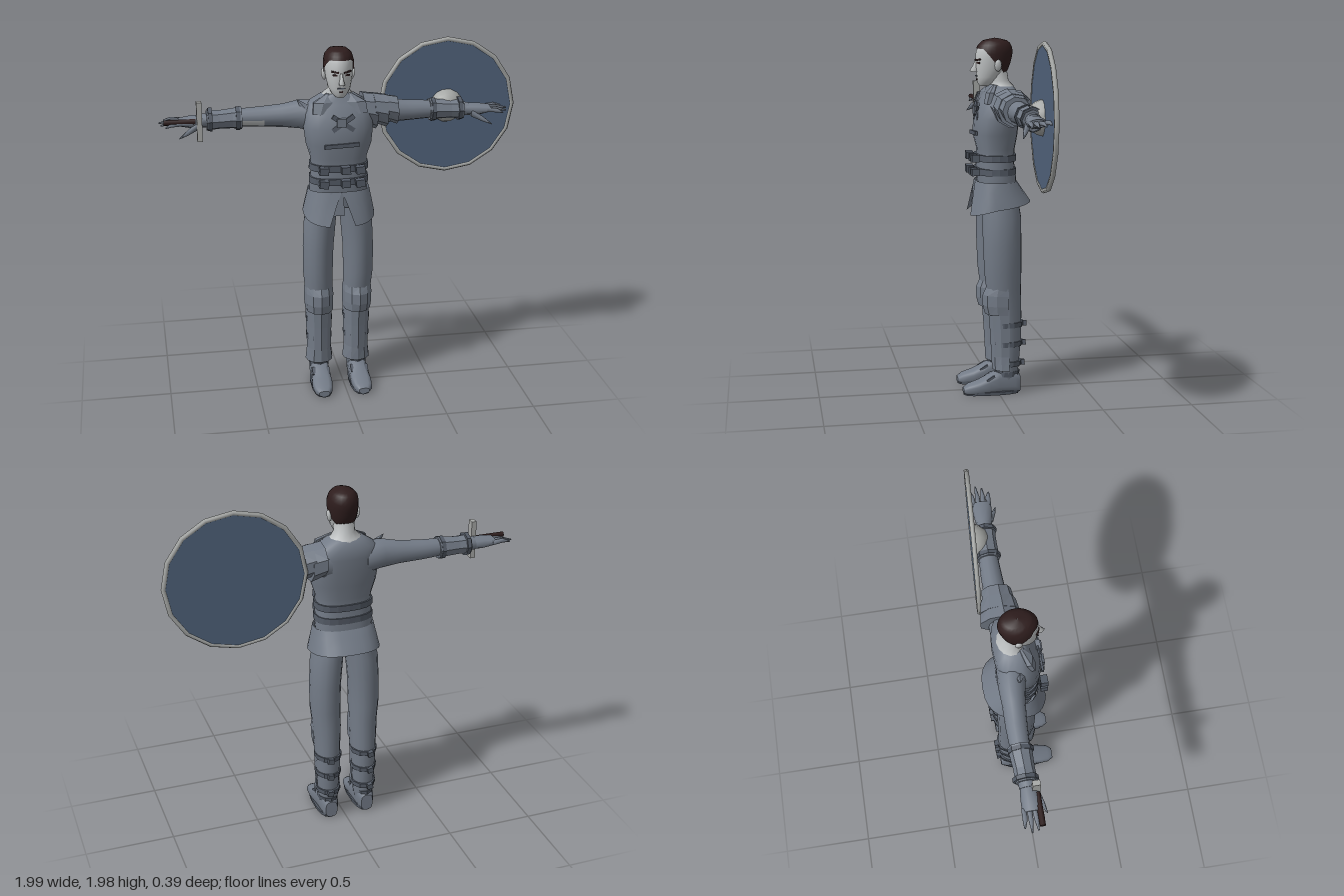
import * as THREE from 'three';

const mat = (name, color, side = THREE.DoubleSide) => {
  const m = new THREE.MeshStandardMaterial({ color, side });
  m.name = name;
  return m;
};

// Grid surface from fn(u, v); u runs anticlockwise seen from above, v runs up
function sheet(fn, nu, nv, closed = true, caps = false, flat = false) {
  const pos = [], idx = [], w = closed ? nu : nu + 1;
  for (let j = 0; j <= nv; j++) for (let i = 0; i < w; i++) pos.push(...fn(i / nu, j / nv));
  for (let j = 0; j < nv; j++) for (let i = 0; i < nu; i++) {
    const a = j * w + i, b = j * w + (i + 1) % w;
    idx.push(a, b, b + w, a, b + w, a + w);
  }
  if (caps) for (const j of [0, nv]) {
    const base = pos.length / 3, c = [0, 0, 0];
    for (let i = 0; i < w; i++) {
      const p = fn(i / nu, j / nv);
      p.forEach((n, k) => { c[k] += n / w; });
      pos.push(...p);
    }
    pos.push(...c);
    for (let i = 0; i < w; i++) {
      const a = base + i, b = base + (i + 1) % w;
      idx.push(...(j ? [a, b, base + w] : [b, a, base + w]));
    }
  }
  let g = new THREE.BufferGeometry();
  g.setAttribute('position', new THREE.Float32BufferAttribute(pos, 3));
  g.setIndex(idx);
  if (flat) g = g.toNonIndexed();
  g.computeVertexNormals();
  return g;
}

// Rounded cross-sections [y, centreX, centreZ, radiusX, radiusZ], bottom to top
const pw = (n, p) => Math.sign(n) * Math.abs(n) ** (2 / p);
function loft(rings, { sides = 16, p = 2, from = 0, to = Math.PI * 2, flat = false } = {}) {
  const r = [...rings].sort((a, b) => a[0] - b[0]), closed = to - from > 6.28;
  return sheet((u, v) => {
    const [y, cx, cz, rx, rz] = r[Math.round(v * (r.length - 1))], a = from + (to - from) * u;
    return [cx + rx * pw(Math.sin(a), p), y, cz + rz * pw(Math.cos(a), p)];
  }, sides, r.length - 1, closed, closed, flat);
}
// Sections [x, y, z, radiusY, radiusZ] along x, and [z, x, y, radiusX, radiusY] along z
const loftX = (rings, o) => loft(rings.map(([x, y, z, ry, rz]) => [x, -y, z, ry, rz]), o).rotateZ(-Math.PI / 2);
const loftZ = (rings, o) => loft(rings.map(([z, x, y, rx, ry]) => [z, x, -y, rx, ry]), o).rotateX(Math.PI / 2);

const box = (w, h, d, x, y, z, rx = 0, ry = 0, rz = 0) =>
  new THREE.BoxGeometry(w, h, d).rotateX(rx).rotateY(ry).rotateZ(rz).translate(x, y, z);

function mirrored(g) {
  const m = g.clone().scale(-1, 1, 1);
  const i = m.index ? Array.from(m.index.array) : Array.from({ length: m.attributes.position.count }, (_, k) => k);
  for (let k = 0; k < i.length; k += 3) [i[k], i[k + 1]] = [i[k + 1], i[k]];
  m.setIndex(i);
  return m;
}

export function createModel() {
  const cloth = mat('slate cloth', 0x737b87), strap = mat('dark strap', 0x535a65);
  const skin = mat('pale skin', 0xbcbfc0), hair = mat('dark brown hair', 0x2e1d1d);
  const blue = mat('shield blue', 0x50627a), metal = mat('light metal', 0xa6a8a6);
  const root = new THREE.Group(), body = new THREE.Group();
  root.name = 'warrior';
  body.name = 'body';
  body.position.x = -0.025;
  root.add(body);
  const add = (name, g, m, parent = body) => {
    const mesh = new THREE.Mesh(g, m);
    mesh.name = name;
    parent.add(mesh);
    return mesh;
  };
  const pair = (name, g, m) => {
    add('left' + name, g, m);
    add('right' + name, mirrored(g), m);
  };

  // Torso
  add('tunic', loft([
    [1.1, 0, -.015, .15, .1], [1.22, 0, -.008, .163, .105], [1.3, 0, 0, .154, .102], [1.38, 0, -.003, .156, .102],
    [1.46, 0, 0, .181, .119], [1.55, 0, -.008, .192, .12], [1.62, 0, -.02, .187, .113], [1.675, 0, -.035, .165, .096],
    [1.715, 0, -.03, .1, .075], [1.73, 0, -.025, .062, .06]], { sides: 20, p: 2.5 }), cloth);
  const slit = .28;
  add('skirt', sheet((u, v) => {
    const a = (1 - v) * slit + u * (Math.PI * 2 - 2 * (1 - v) * slit), c = Math.cos(a), s = Math.sin(a), t = 1 - v;
    const low = c > 0 ? 1.055 - .045 * c : 1.055 - .03 * c;
    const rz = c > 0 ? .11 + .045 * t : .115 + .08 * t;
    return [(.17 + .028 * t) * pw(s, 2.5), 1.2 * v + low * t, rz * pw(c, 2.5)];
  }, 24, 3, false), cloth);
  add('frontFlap', box(.075, .13, .02, -.025, 1.13, .105, -.1), cloth);
  for (const y of [1.33, 1.255]) {
    add('belt', loft([[y - .018, 0, 0, .165, .112], [y + .018, 0, 0, .163, .113]], { sides: 20, p: 2.5, flat: true }), strap);
    for (const x of [-.1, .02, .1]) add('beltBuckle', box(.05, .04, .04, x, y, .128, 0, 0, x), strap);
  }
  add('chestStrap', box(.19, .022, .012, 0, 1.465, .12, 0, 0, .04), strap);
  for (const s of [-1, 1]) add('crossStrap', box(.14, .025, .012, .01, 1.585, .104, -.12, 0, s * .6), strap);
  add('chestClasp', box(.05, .045, .03, 0, 1.59, .105), cloth);
  pair('CollarFlap', loft([[1.63, .11, .06, .045, .02], [1.69, .09, .04, .06, .025], [1.73, .06, .01, .01, .012]], { sides: 6, flat: true }), cloth);

  // Shoulders: a spiked flap on the right, layered plates on the left
  add('rightShoulderFlap', new THREE.ConeGeometry(.045, .12, 5).rotateZ(.75).translate(-.185, 1.655, -.02), cloth);
  [[.14, .1, .115], [.2, .092, .105], [.26, .078, .088]].forEach(([x, ry, rz]) => add('leftShoulderPlate',
    loftX([[x, 1.625, -.06, ry * .9, rz], [x + .075, 1.605, -.06, ry, rz * .9]], { sides: 9, flat: true }), cloth));

  // Arms, bracers and hands
  pair('Arm', loftX([
    [.1, 1.59, -.04, .09, .085], [.2, 1.605, -.06, .08, .07], [.3, 1.6, -.065, .063, .06], [.42, 1.597, -.07, .055, .056],
    [.54, 1.597, -.07, .048, .05], [.74, 1.59, -.065, .036, .042]], { sides: 14 }), cloth);
  pair('Bracer', loftX([
    [.52, 1.595, -.07, .063, .062], [.57, 1.595, -.07, .056, .058], [.64, 1.592, -.067, .052, .054], [.71, 1.59, -.065, .056, .057]],
    { sides: 8, flat: true }), cloth);
  for (const x of [.53, .68]) pair('BracerStrap', loftX(
    [[x, 1.594, -.068, .067, .066], [x + .022, 1.594, -.068, .065, .066]], { sides: 8, flat: true }), strap);
  add('rightForearmPatch', loftX([[-.52, 1.6, -.07, .05, .053], [-.4, 1.6, -.07, .058, .059]],
    { sides: 5, from: .2, to: 1.3 }), skin);
  pair('Palm', loftX([
    [.71, 1.59, -.062, .033, .04], [.79, 1.588, -.06, .034, .05], [.86, 1.59, -.06, .02, .052]], { sides: 10 }), cloth);
  for (let i = 0; i < 4; i++) {
    const z = -.1 + i * .026, end = [.94, .965, .955, .93][i];
    pair('Finger', loftX([
      [.84, 1.59, z, .014, .014], [.9, 1.597 - i * .004, z - .004 + i * .003, .012, .012],
      [end, 1.59 - i * .006, z - .01 + i * .007, .004, .004]], { sides: 6 }), cloth);
  }
  pair('Thumb', loftX([[.75, 1.575, -.03, .022, .02], [.81, 1.545, -.005, .016, .014], [.86, 1.518, .016, .003, .003]], { sides: 6 }), cloth);

  // Sword hilt in the right hand
  add('hiltGrip', new THREE.CylinderGeometry(.015, .015, .17, 8).rotateZ(Math.PI / 2).translate(-.855, 1.598, -.022), hair);
  add('hiltGuard', box(.028, .215, .04, -.75, 1.597, -.025), metal);

  // Legs
  pair('Trouser', loft([
    [.06, .108, -.05, .05, .06], [.15, .108, -.05, .06, .066], [.3, .108, -.05, .068, .08], [.45, .109, -.042, .073, .09],
    [.6, .11, -.03, .08, .098], [.7, .115, -.025, .085, .105], [.85, .113, -.022, .087, .108], [1, .103, -.02, .09, .11],
    [1.14, .08, -.01, .08, .1]], { sides: 16 }), cloth);
  pair('KneePad', loft([
    [.46, .108, -.03, .079, .105], [.51, .11, -.03, .083, .118], [.57, .11, -.03, .084, .118], [.61, .11, -.03, .081, .1]],
    { sides: 6, from: -1.7, to: 1.7, flat: true }), cloth);
  pair('Greave', loft([
    [.14, .108, -.045, .079, .08], [.22, .108, -.045, .07, .084], [.36, .108, -.045, .074, .092], [.5, .108, -.04, .077, .098]],
    { sides: 6, from: -1.65, to: 1.65, flat: true }), cloth);
  for (const [y, k] of [[.175, .94], [.29, 1], [.4, 1.04]]) {
    pair('GreaveStrap', loft([[y - .014, .108, -.05, .074 * k, .088 * k], [y + .014, .108, -.05, .075 * k, .09 * k]],
      { sides: 10, flat: true }), strap);
    pair('GreaveBuckle', box(.035, .03, .02, .12, y, -.05 - .092 * k, 0, 0, .2), strap);
  }

  // Boots
  pair('Boot', loftZ([
    [-.122, .11, .055, .035, .05], [-.09, .11, .07, .05, .068], [.0, .11, .07, .053, .068], [.05, .111, .055, .055, .053],
    [.11, .113, .04, .058, .038], [.17, .115, .031, .05, .028], [.2, .115, .024, .03, .016]], { sides: 14, p: 3 }), cloth);
  pair('Sole', loft([[0, .112, .04, .056, .158], [.018, .112, .04, .057, .16]], { sides: 14, p: 2.6, flat: true }), strap);
  pair('BootStrap', loft([[.1, .11, -.045, .056, .075], [.13, .11, -.05, .058, .072]], { sides: 10, flat: true }), strap);
  pair('BootBand', box(.1, .014, .05, .112, .095, .05, .55), strap);

  // Neck and head
  add('neck', loft([
    [1.68, 0, -.035, .115, .082], [1.722, 0, -.035, .085, .07], [1.75, 0, -.02, .058, .058], [1.82, 0, -.01, .056, .056]], { sides: 14 }), skin);
  const skull = [
    [1.722, 0, .055, .025, .03], [1.74, 0, .042, .043, .054], [1.77, 0, .03, .06, .072], [1.82, 0, .017, .071, .09],
    [1.865, 0, .01, .076, .097], [1.91, 0, .005, .077, .1], [1.945, 0, 0, .067, .086], [1.967, 0, 0, .045, .06], [1.977, 0, 0, .002, .002]];
  add('head', loft(skull, { sides: 20 }), skin);
  const skullAt = (y) => {
    let k = 0;
    while (k < skull.length - 2 && skull[k + 1][0] < y) k++;
    const t = Math.min(1, (y - skull[k][0]) / (skull[k + 1][0] - skull[k][0]));
    return skull[k].map((n, i) => n + (skull[k + 1][i] - n) * t);
  };
  add('hair', sheet((u, v) => {
    const a = u * Math.PI * 2, c = Math.cos(a);
    const low = c > 0 ? 1.85 + .075 * Math.min(1, c * 1.5) : 1.85 + .075 * c;
    const y = low + (1.977 - low) * Math.sin(v * Math.PI / 2), [, , cz, rx, rz] = skullAt(y);
    return [(rx + .006 * (v < 1)) * Math.sin(a), y + .006 * v, cz + (rz + .006 * (v < 1)) * c];
  }, 24, 9), hair);
  add('nose', loft([[1.797, 0, .108, .017, .022], [1.805, 0, .11, .016, .03], [1.83, 0, .1, .01, .024], [1.86, 0, .095, .008, .016]], { sides: 6 }), skin);
  add('mouth', box(.04, .006, .008, 0, 1.777, .102), strap);
  add('chinTuft', box(.018, .009, .008, 0, 1.757, .099), hair);
  pair('Brow', box(.042, .009, .009, .033, 1.865, .098, 0, .36, .16), hair);
  pair('Eye', box(.026, .009, .009, .032, 1.848, .096, 0, .36, 0), hair);
  pair('Ear', new THREE.SphereGeometry(1, 8, 6).scale(.012, .033, .02).rotateZ(-.15).translate(.08, 1.835, -.005), skin);

  // Shield on the left arm
  const shield = new THREE.Group();
  shield.name = 'shield';
  shield.position.set(.61, 1.597, -.137);
  shield.rotation.y = -.055;
  root.add(shield);
  add('shieldFace', new THREE.CylinderGeometry(.37, .37, .018, 16).rotateX(Math.PI / 2), blue, shield);
  add('shieldRim', new THREE.TorusGeometry(.373, .014, 6, 16), metal, shield);
  add('shieldBoss', new THREE.SphereGeometry(.095, 14, 7, 0, Math.PI * 2, 0, Math.PI / 2).rotateX(Math.PI / 2).scale(1, 1, .95), metal, shield);
  return root;
}
